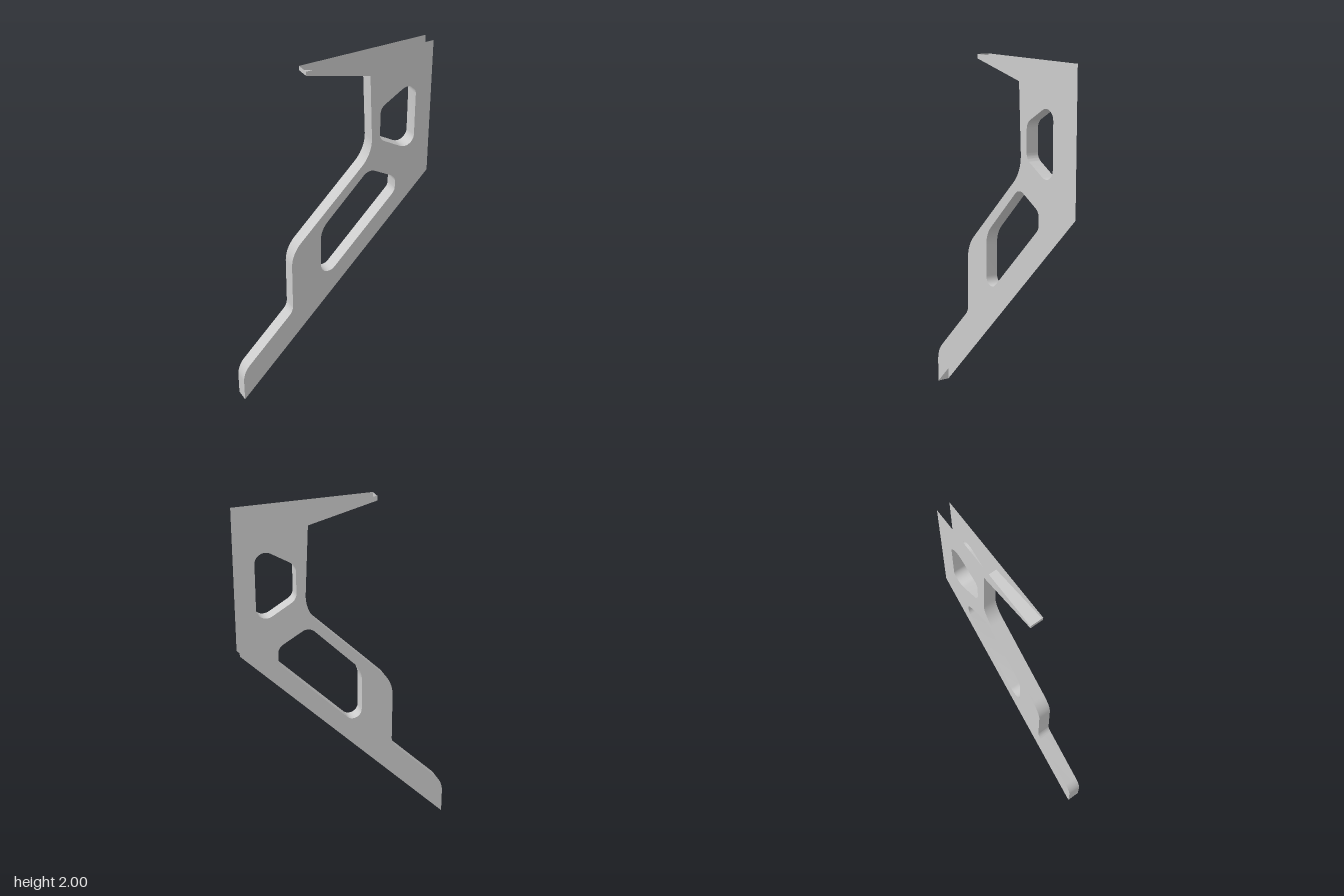
import * as THREE from 'three';
import { toCreasedNormals } from 'three/addons/utils/BufferGeometryUtils.js';

const HALF = 0.037; // half the depth of the bracket

// Corners are [x, y, fillet radius]; returns a polyline with rounded corners.
function fillet(corners) {
  const out = [];
  const n = corners.length;
  corners.forEach(([x, y, r = 0], i) => {
    const p = new THREE.Vector2(x, y);
    if (!r) { out.push(p); return; }
    const a = new THREE.Vector2(...corners[(i + n - 1) % n].slice(0, 2)).sub(p).normalize();
    const b = new THREE.Vector2(...corners[(i + 1) % n].slice(0, 2)).sub(p).normalize();
    const half = Math.acos(a.dot(b)) / 2;
    const start = p.clone().addScaledVector(a, r / Math.tan(half));
    const end = p.clone().addScaledVector(b, r / Math.tan(half));
    const centre = a.clone().add(b).normalize().multiplyScalar(r / Math.sin(half)).add(p);
    const a0 = start.clone().sub(centre).angle();
    let sweep = end.clone().sub(centre).angle() - a0;
    if (sweep > Math.PI) sweep -= 2 * Math.PI;
    if (sweep < -Math.PI) sweep += 2 * Math.PI;
    for (let k = 0; k <= 10; k++) {
      const t = a0 + sweep * k / 10;
      out.push(new THREE.Vector2(centre.x + r * Math.cos(t), centre.y + r * Math.sin(t)));
    }
  });
  return out;
}

// Thin wall following a polyline across the full depth.
function wallGeometry(points) {
  const pos = [];
  for (let i = 0; i < points.length - 1; i++) {
    const a = points[i], b = points[i + 1];
    pos.push(a.x, a.y, -HALF, b.x, b.y, -HALF, b.x, b.y, HALF);
    pos.push(a.x, a.y, -HALF, b.x, b.y, HALF, a.x, a.y, HALF);
  }
  const g = new THREE.BufferGeometry();
  g.setAttribute('position', new THREE.Float32BufferAttribute(pos, 3));
  return toCreasedNormals(g, 0.4);
}

export function createModel() {
  const group = new THREE.Group();
  const material = new THREE.MeshStandardMaterial({ color: 0xcccccc, side: THREE.DoubleSide });
  const add = (name, geometry) => {
    const mesh = new THREE.Mesh(geometry, material);
    mesh.name = name;
    group.add(mesh);
    return mesh;
  };

  // Outline, counter-clockwise from the tip of the top arm
  const outline = fillet([
    [-0.165, 2], [-0.165, 1.976], [0.212, 1.88], [0.234, 1.407, 0.21],
    [-0.27, 0.915, 0.2], [-0.27, 0.523, 0.08], [-0.597, 0.2, 0.15],
    [-0.597, 0], [0.597, 1.195], [0.597, 1.99],
  ]);
  // Cut-outs, clockwise
  const upperHole = fillet([
    [0.28, 1.48, 0.057], [0.28, 1.671, 0.057], [0.5, 1.8, 0.057], [0.5, 1.35, 0.057],
  ]);
  const lowerHole = fillet([
    [-0.087, 0.65, 0.05], [-0.087, 1.013, 0.15], [0.214, 1.314, 0.057],
    [0.387, 1.214, 0.057], [0.387, 1.122, 0.057],
  ]);

  // Front and back side plates
  const shape = new THREE.Shape(outline);
  shape.holes.push(new THREE.Path(upperHole), new THREE.Path(lowerHole));
  const plate = new THREE.ShapeGeometry(shape);
  add('frontPlate', plate).position.z = HALF;
  const back = add('backPlate', plate);
  back.position.z = -HALF;
  back.scale.z = -1;

  // Edge wall: stepped side only; top, outer side and diagonal stay open
  add('edgeWall', wallGeometry(outline.slice(0, -2)).clone());

  // Walls lining the cut-outs
  add('upperHoleWall', wallGeometry([...upperHole, upperHole[0]]));
  add('lowerHoleWall', wallGeometry([...lowerHole, lowerHole[0]]));

  return group;
}
